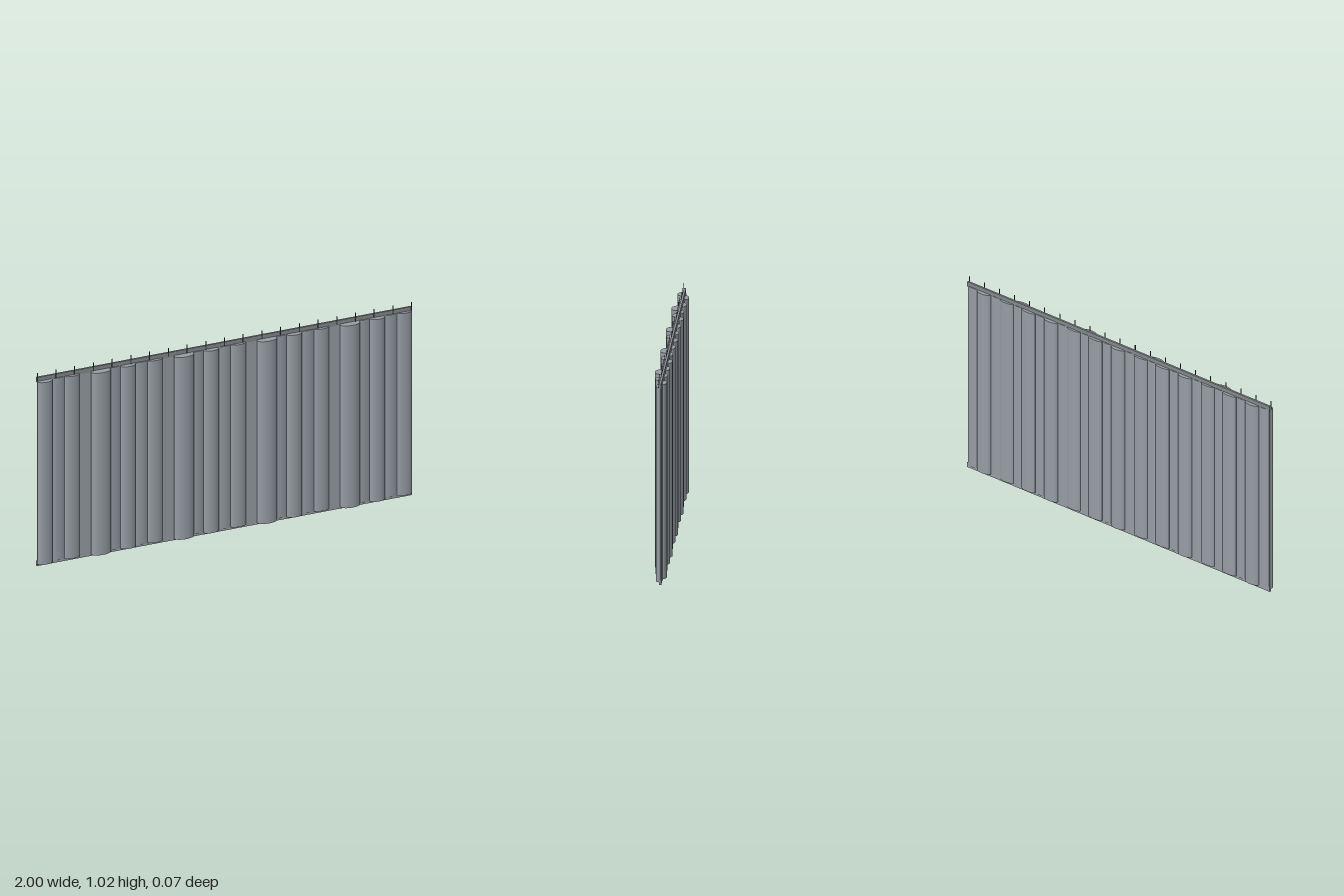
import * as THREE from 'three';

const PANEL_Z = -0.009;         // plane of the backing panel and strips
const BOTTOM = 0.013, TOP = 0.98;
// repeating pleats: half width in x, front z, back z
const PLEATS = [
  [0.04, 0.025, -0.018],
  [0.044, 0.003, -0.036],
  [0.04, 0.014, -0.02],
  [0.044, -0.005, -0.032],
  [0.052, 0.037, -0.018],
  [0.044, 0.003, -0.029],
];
const COUNT = 27;

export function createModel() {
  const group = new THREE.Group();
  const cloth = new THREE.MeshStandardMaterial({ color: 0x969da4 });
  const tape = new THREE.MeshStandardMaterial({ color: 0x85898c });
  const metal = new THREE.MeshStandardMaterial({ color: 0x3a3c3e });
  const add = (name, geometry, material, x, y, z) => {
    const mesh = new THREE.Mesh(geometry, material);
    mesh.name = name;
    mesh.position.set(x, y, z);
    group.add(mesh);
    return mesh;
  };

  // overlapping oval pleats, alternately forward and back
  const pleat = new THREE.CylinderGeometry(1, 1, TOP - BOTTOM, 20);
  for (let i = 0; i < COUNT; i++) {
    const [halfWidth, front, back] = PLEATS[i % PLEATS.length];
    const x = -0.96 + (i * 1.92) / (COUNT - 1);
    add('pleat', pleat, cloth, x, (TOP + BOTTOM) / 2, (front + back) / 2)
      .scale.set(halfWidth, 1, (front - back) / 2);
  }

  // backing panel between the pleats, with hem and heading strips
  const strip = new THREE.BoxGeometry(2, 0.025, 0.011);
  add('backingPanel', new THREE.BoxGeometry(1.99, 0.95, 0.011), cloth, 0, 0.5, PANEL_Z);
  add('hemStrip', strip, cloth, 0, 0.0125, PANEL_Z);
  add('headingStrip', strip, tape, 0, 0.9875, PANEL_Z);

  // hooks along the heading
  const hook = new THREE.BoxGeometry(0.004, 0.045, 0.003);
  for (let i = 0; i <= 20; i++) add('hook', hook, metal, (i / 10 - 1) * 0.998, 1.0025, -0.002);

  return group;
}
